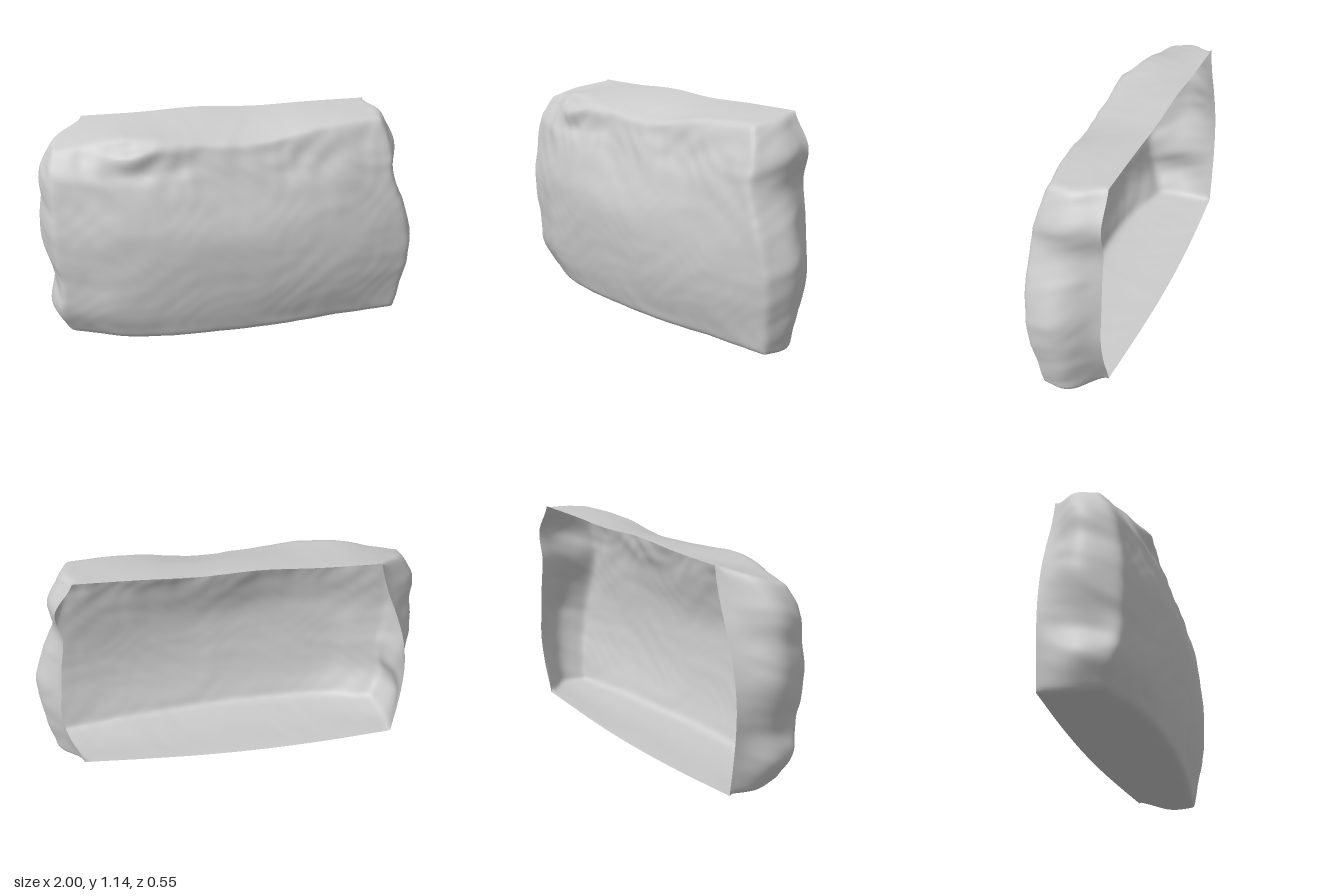
import * as THREE from 'three';
import { mergeVertices } from 'three/addons/utils/BufferGeometryUtils.js';

const { lerp } = THREE.MathUtils;
const BACK = -0.24;

// Smooth curve through evenly spaced samples, u in 0..1
function sample(list, u) {
  const n = list.length - 1;
  const i = Math.min(Math.floor(u * n), n - 1), f = u * n - i;
  const a = list[Math.max(i - 1, 0)], b = list[i], c = list[i + 1], d = list[Math.min(i + 2, n)];
  return b + 0.5 * f * (c - a + f * (2 * a - 5 * b + 4 * c - d + f * (3 * (b - c) + d - a)));
}

// Outlines of the block at three depths: left and right run upward, bottom and top run along x
const outlines = [
  { // open back rim
    left: [-0.89, -0.91, -0.925, -0.925, -0.9, -0.85, -0.79, -0.75],
    right: [0.79, 0.85, 0.885, 0.875, 0.86, 0.84, 0.865, 0.77],
    bottom: [0.035, 0.025, 0.02, 0.02, 0.025, 0.03], top: [1.12, 1.125, 1.14, 1.13, 1.14, 1.145],
  },
  { // middle of the walls
    left: [-0.9, -0.965, -0.94, -0.975, -1.005, -0.985, -0.98, -0.89],
    right: [0.93, 0.97, 0.995, 1.0, 0.95, 0.885, 0.905, 0.82],
    bottom: [0.015, 0.005, 0.002, 0.002, 0.005, 0.01], top: [1.075, 1.105, 1.105, 1.1, 1.125, 1.13],
  },
  { // front edge
    left: [-0.87, -0.93, -0.91, -0.93, -0.95, -0.94, -0.945, -0.92],
    right: [0.92, 0.945, 0.965, 0.96, 0.91, 0.855, 0.85, 0.79],
    bottom: [0.03, 0.005, 0.002, 0.002, 0.01, 0.01], top: [1.03, 1.09, 1.06, 1.04, 1.095, 1.115],
  },
];

// Depth of the bulging front face, rows from bottom to top, columns along x
const frontDepth = [
  [0.08, 0.17, 0.19, 0.18, 0.15, 0.11, 0.07],
  [0.14, 0.22, 0.23, 0.22, 0.19, 0.15, 0.085],
  [0.16, 0.24, 0.255, 0.245, 0.22, 0.175, 0.11],
  [0.17, 0.245, 0.27, 0.26, 0.23, 0.185, 0.125],
  [0.17, 0.24, 0.27, 0.26, 0.23, 0.18, 0.13],
  [0.15, 0.21, 0.235, 0.22, 0.20, 0.165, 0.125],
  [0.12, 0.17, 0.185, 0.175, 0.155, 0.13, 0.105],
  [0.05, 0.09, 0.14, 0.145, 0.125, 0.09, 0.05],
];
const depthAt = (s, t) => sample(frontDepth.map((row) => sample(row, s)), t);

// Point of one outline for s, t in the unit square
function place(o, s, t) {
  return [
    lerp(sample(o.left, t), sample(o.right, t), s),
    lerp(sample(o.bottom, s), sample(o.top, s), t)];
}

const frontPoint = (s, t) => [...place(outlines[2], s, t), depthAt(s, t)];

// Wall point: k = 0 at the back rim, 1 at the front edge
function wallPoint(s, t, k) {
  const rings = outlines.map((o) => place(o, s, t));
  const back = t === 0 ? BACK - 0.03 * Math.sin(Math.PI * s) : BACK;
  return [
    sample(rings.map((p) => p[0]), k),
    sample(rings.map((p) => p[1]), k),
    lerp(back, depthAt(s, t), k)];
}

// Surface from a grid of points
function addGrid(out, nu, nv, point) {
  for (let j = 0; j < nv; j++) for (let i = 0; i < nu; i++) {
    const [a, b, c, d] = [[0, 0], [1, 0], [1, 1], [0, 1]]
      .map(([di, dj]) => point((i + di) / nu, (j + dj) / nv));
    out.push(...a, ...b, ...c, ...a, ...c, ...d);
  }
}

// Wear the edges round: move each vertex to the mean of its neighbours, keeping the rim
function wearEdges(geometry, rounds) {
  const pos = geometry.attributes.position, index = geometry.index.array;
  const near = Array.from({ length: pos.count }, () => new Set());
  for (let i = 0; i < index.length; i += 3) for (let e = 0; e < 3; e++) {
    const a = index[i + e], b = index[i + (e + 1) % 3];
    near[a].add(b);
    near[b].add(a);
  }
  for (let r = 0; r < rounds; r++) {
    const old = pos.array.slice();
    for (let i = 0; i < pos.count; i++) {
      if (old[3 * i + 2] < BACK + 0.001) continue;
      for (let ax = 0; ax < 3; ax++) {
        let sum = 0;
        for (const n of near[i]) sum += old[3 * n + ax];
        pos.array[3 * i + ax] = lerp(old[3 * i + ax], sum / near[i].size, 0.6);
      }
    }
  }
}

// Soft lumps, about -1..1
function lumps(x, y, z) {
  return 0.5 * Math.sin(7 * x + 2 * Math.sin(6 * y)) * Math.sin(9 * y + 7 * z + 2 * Math.sin(5 * x))
    + 0.35 * Math.sin(15 * x + 3 * Math.sin(9 * y)) * Math.sin(21 * y + 15 * z + 3 * Math.sin(8 * x))
    + 0.15 * Math.sin(33 * x + 3 * Math.sin(14 * y)) * Math.sin(35 * y + 31 * z + 3 * Math.sin(12 * x));
}

// Push the surface along its normals: gentle all over, rough below the top edge
function roughen(geometry) {
  geometry.computeVertexNormals();
  const pos = geometry.attributes.position, nor = geometry.attributes.normal;
  const p = new THREE.Vector3(), n = new THREE.Vector3();
  const bell = (v, mid, width) => Math.exp(-(((v - mid) / width) ** 2));
  for (let i = 0; i < pos.count; i++) {
    p.fromBufferAttribute(pos, i);
    n.fromBufferAttribute(nor, i);
    if (p.z < BACK + 0.001) continue;
    const facing = Math.max(n.z, 0), side = Math.abs(n.x);
    const size = 0.003 + 0.006 * side + 0.014 * facing * bell(p.y, 0.92, 0.13);
    // broken ledge at the upper left of the face, with a hollow under it
    const ledge = facing * bell(p.x, -0.5, 0.2)
      * (0.035 * bell(p.y, 1.01 + 0.02 * Math.sin(14 * p.x), 0.04) - 0.015 * bell(p.y, 0.92, 0.04));
    p.addScaledVector(n, (size * lumps(p.x, p.y, p.z) + ledge) * Math.min(1, (p.z - BACK) * 10));
    pos.setXYZ(i, p.x, Math.max(p.y, 0), p.z);
  }
  geometry.computeVertexNormals();
}

export function createModel() {
  const group = new THREE.Group();
  group.name = 'stoneBlock';
  const nx = 130, ny = 80, nz = 22;

  // Front face and the four walls form one shell, open at the back
  const positions = [];
  addGrid(positions, nx, ny, frontPoint);
  addGrid(positions, ny, nz, (u, k) => wallPoint(1, u, k));
  addGrid(positions, ny, nz, (u, k) => wallPoint(0, 1 - u, k));
  addGrid(positions, nx, nz, (u, k) => wallPoint(1 - u, 1, k));
  addGrid(positions, nx, nz, (u, k) => wallPoint(u, 0, k));

  let shell = new THREE.BufferGeometry();
  shell.setAttribute('position', new THREE.Float32BufferAttribute(positions, 3));
  shell = mergeVertices(shell, 1e-4);
  wearEdges(shell, 8);
  roughen(shell);

  const mesh = new THREE.Mesh(shell, new THREE.MeshStandardMaterial({ color: 0xcccccc, side: THREE.DoubleSide }));
  mesh.name = 'stoneShell';
  group.add(mesh);
  return group;
}
